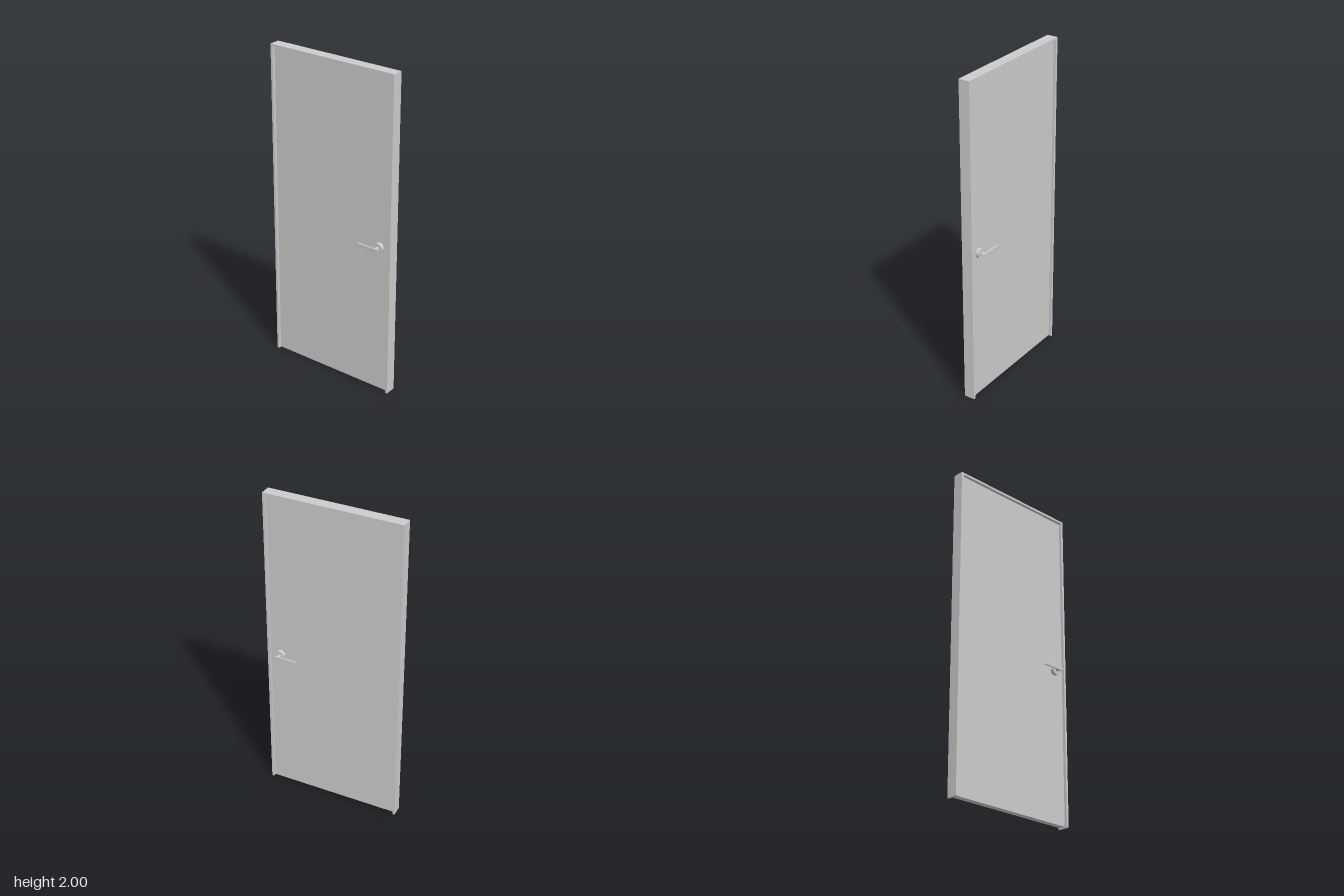
import * as THREE from 'three';
import { RoundedBoxGeometry } from 'three/addons/geometries/RoundedBoxGeometry.js';

const W = 0.85, H = 2, DEPTH = 0.068;      // outer frame
const JAMB = 0.014, GAP = 0.003;           // frame face width, clearance around the leaf
const LEAF = 0.038;                        // leaf thickness
const HANDLE_X = 0.342, HANDLE_Y = 0.95;

export function createModel() {
  const group = new THREE.Group();
  const material = new THREE.MeshStandardMaterial({ color: 0xcccccc });

  const add = (parent, name, geometry, x = 0, y = 0, z = 0) => {
    const mesh = new THREE.Mesh(geometry, material);
    mesh.name = name;
    mesh.position.set(x, y, z);
    parent.add(mesh);
    return mesh;
  };

  // Frame: one U-shaped outline, open at the floor
  const outline = new THREE.Shape([
    [-W / 2, 0], [-W / 2 + JAMB, 0], [-W / 2 + JAMB, H - JAMB], [W / 2 - JAMB, H - JAMB],
    [W / 2 - JAMB, 0], [W / 2, 0], [W / 2, H], [-W / 2, H],
  ].map(([x, y]) => new THREE.Vector2(x, y)));
  const frame = new THREE.ExtrudeGeometry(outline, { depth: DEPTH, bevelEnabled: false });
  add(group, 'doorFrame', frame, 0, 0, -DEPTH / 2);

  // Leaf, set back from both faces of the frame
  const leafW = W - 2 * (JAMB + GAP), bottom = 0.005, top = H - JAMB - GAP;
  add(group, 'doorLeaf', new THREE.BoxGeometry(leafW, top - bottom, LEAF), 0, (top + bottom) / 2, 0);

  // Disc-like part whose axis runs along z, from z0 to z1
  const roundPart = (parent, name, radius, z0, z1) =>
    add(parent, name, new THREE.CylinderGeometry(radius, radius, z1 - z0, 32).rotateX(Math.PI / 2),
      0, 0, (z0 + z1) / 2);

  // A lever handle on each side, both pointing towards the hinges
  for (const side of [1, -1]) {
    const handle = new THREE.Group();
    handle.name = side > 0 ? 'frontHandle' : 'backHandle';
    handle.position.set(HANDLE_X, HANDLE_Y, 0);
    const span = (a, b) => (side > 0 ? [a, b] : [-b, -a]);
    roundPart(handle, 'rosette', 0.029, ...span(LEAF / 2, 0.042));
    roundPart(handle, 'spindle', 0.01, ...span(0.042, 0.064));
    add(handle, 'lever', new RoundedBoxGeometry(0.146, 0.02, 0.009, 3, 0.003), -0.049, 0, side * 0.0665);
    group.add(handle);
  }
  return group;
}
